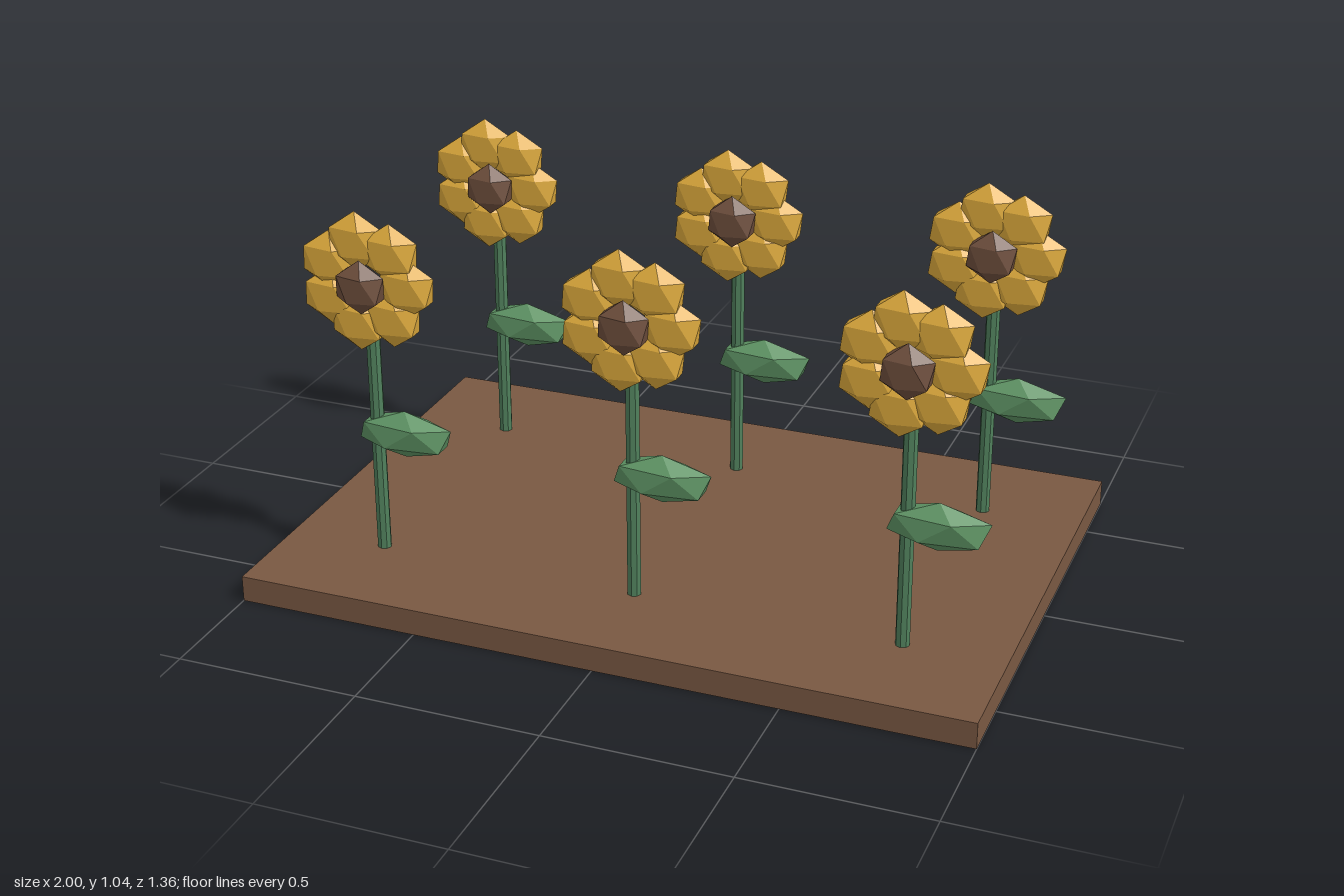
import * as THREE from 'three';
import { ConvexGeometry } from 'three/addons/geometries/ConvexGeometry.js';

const material = (color) => new THREE.MeshStandardMaterial({ color, flatShading: true });
const soil = material(0x795842);
const stemGreen = material(0x50805c);
const leafGreen = material(0x5f9565);
const petalYellow = material(0xdfab3d);
const seedBrown = material(0x6f4f3d);

// Twenty-sided faceted ball with a corner at each pole
function facetedBall() {
  const points = [new THREE.Vector3(0, 1, 0), new THREE.Vector3(0, -1, 0)];
  const h = Math.sqrt(0.2);
  for (let i = 0; i < 10; i++) {
    const a = (i * Math.PI) / 5;
    points.push(new THREE.Vector3(2 * h * Math.cos(a), i % 2 ? -h : h, 2 * h * Math.sin(a)));
  }
  return new ConvexGeometry(points);
}

function addMesh(parent, name, geometry, mat, position, scale = [1, 1, 1]) {
  const mesh = new THREE.Mesh(geometry, mat);
  mesh.name = name;
  mesh.position.set(...position);
  mesh.scale.set(...scale);
  parent.add(mesh);
}

const BED_TOP = 0.072;
const HEAD_Y = 0.847;

function createFlower(ball, stem) {
  const flower = new THREE.Group();
  flower.name = 'flower';
  addMesh(flower, 'stem', stem, stemGreen, [0, (BED_TOP + HEAD_Y) / 2, 0]);
  addMesh(flower, 'leaf', ball, leafGreen, [0.08, 0.42, 0], [0.149, 0.066, 0.052]);

  // Ring of seven petals around the seed head
  const head = new THREE.Group();
  head.name = 'flowerHead';
  head.position.set(0, HEAD_Y, 0.018);
  for (let i = 0; i < 7; i++) {
    const a = (i / 7) * Math.PI * 2;
    addMesh(head, 'petal', ball, petalYellow,
      [0.114 * Math.cos(a), 0.114 * Math.sin(a), 0], [0.087, 0.081, 0.0405]);
  }
  addMesh(head, 'seedHead', ball, seedBrown, [0, 0, 0.037], [0.076, 0.074, 0.045]);
  flower.add(head);
  return flower;
}

export function createModel() {
  const model = new THREE.Group();
  model.name = 'flowerBed';
  addMesh(model, 'soilBed', new THREE.BoxGeometry(2, BED_TOP, 1.36), soil, [0, BED_TOP / 2, 0]);

  // Two rows of three flowers
  const ball = facetedBall();
  const stem = new THREE.CylinderGeometry(0.019, 0.019, HEAD_Y - BED_TOP, 8);
  for (const z of [-0.39, 0.39]) {
    for (const x of [-0.727, 0, 0.727]) {
      const flower = createFlower(ball, stem);
      flower.position.set(x, 0, z);
      model.add(flower);
    }
  }
  return model;
}
